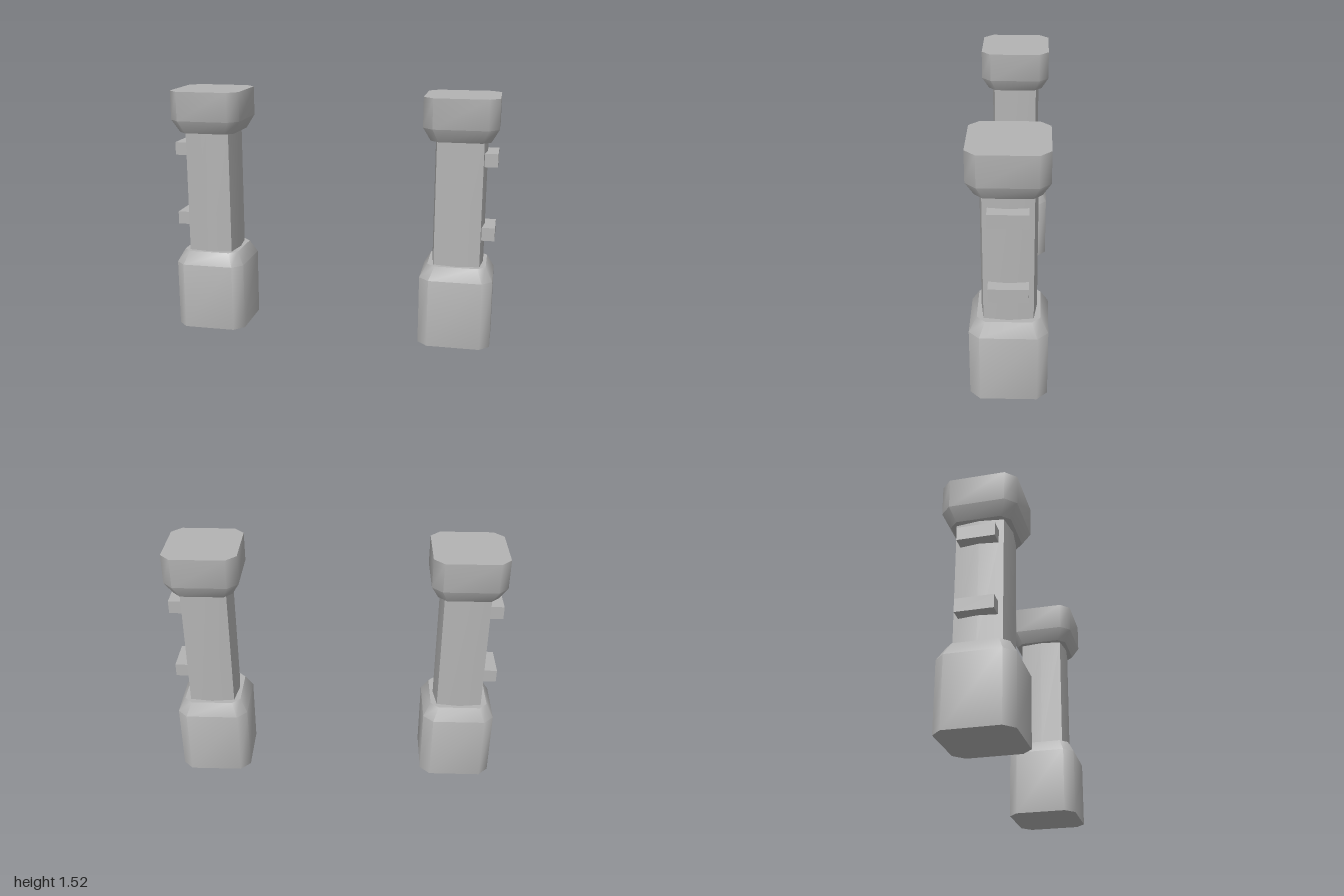
import * as THREE from 'three';
import { toCreasedNormals } from 'three/addons/utils/BufferGeometryUtils.js';

// Cut-corner square outline
const cutSquare = (h, c) => [
  [h, h - c], [h - c, h], [c - h, h], [-h, h - c],
  [-h, c - h], [c - h, -h], [h - c, -h], [h, c - h],
];
// Square outline whose sides swell slightly in the middle
const swollenSquare = (k, m) => [
  [m, 0], [k, k], [0, m], [-k, k], [-m, 0], [-k, -k], [0, -m], [k, -k],
];

// Closed solid through stacked outlines: levels are [y, scale]
function loft(outline, levels) {
  const n = outline.length, pos = [], idx = [];
  for (const [y, s] of levels) for (const [x, z] of outline) pos.push(x * s, y, z * s);
  for (let l = 0; l < levels.length - 1; l++) {
    for (let i = 0; i < n; i++) {
      const a = l * n + i, b = l * n + (i + 1) % n;
      idx.push(a, a + n, b, b, a + n, b + n);
    }
  }
  const top = (levels.length - 1) * n;
  for (let i = 1; i < n - 1; i++) {
    idx.push(0, i, i + 1, top, top + i + 1, top + i);
  }
  const g = new THREE.BufferGeometry();
  g.setAttribute('position', new THREE.Float32BufferAttribute(pos, 3));
  g.setIndex(idx);
  return toCreasedNormals(g, THREE.MathUtils.degToRad(50));
}

export function createModel() {
  const model = new THREE.Group();
  model.name = 'pillarPair';
  const grey = new THREE.MeshStandardMaterial({ color: 0xb3b3b3 });
  grey.name = 'grey';

  const block = cutSquare(0.22, 0.06);
  const baseGeo = loft(block, [[0, 1], [0.42, 1], [0.5, 0.8]]);
  const shaftGeo = loft(swollenSquare(0.138, 0.156), [[0.49, 1], [1.27, 1]]);
  const capitalGeo = loft(block, [[1.26, 0.8], [1.34, 1], [1.52, 1]]);
  const bracketGeo = new THREE.BoxGeometry(0.09, 0.08, 0.22);

  const add = (parent, name, geo) => {
    const mesh = new THREE.Mesh(geo, grey);
    mesh.name = name;
    parent.add(mesh);
    return mesh;
  };

  for (const side of [1, -1]) {
    const pillar = new THREE.Group();
    pillar.name = side > 0 ? 'leftPillar' : 'rightPillar';
    add(pillar, 'base', baseGeo);
    add(pillar, 'shaft', shaftGeo);
    add(pillar, 'capital', capitalGeo);
    // Brackets on the outer face
    add(pillar, 'lowerBracket', bracketGeo).position.set(0.175, 0.7, 0);
    add(pillar, 'upperBracket', bracketGeo).position.set(0.175, 1.15, 0);
    pillar.position.x = side * 0.78;
    pillar.rotation.y = side > 0 ? 0 : Math.PI;
    model.add(pillar);
  }
  return model;
}
